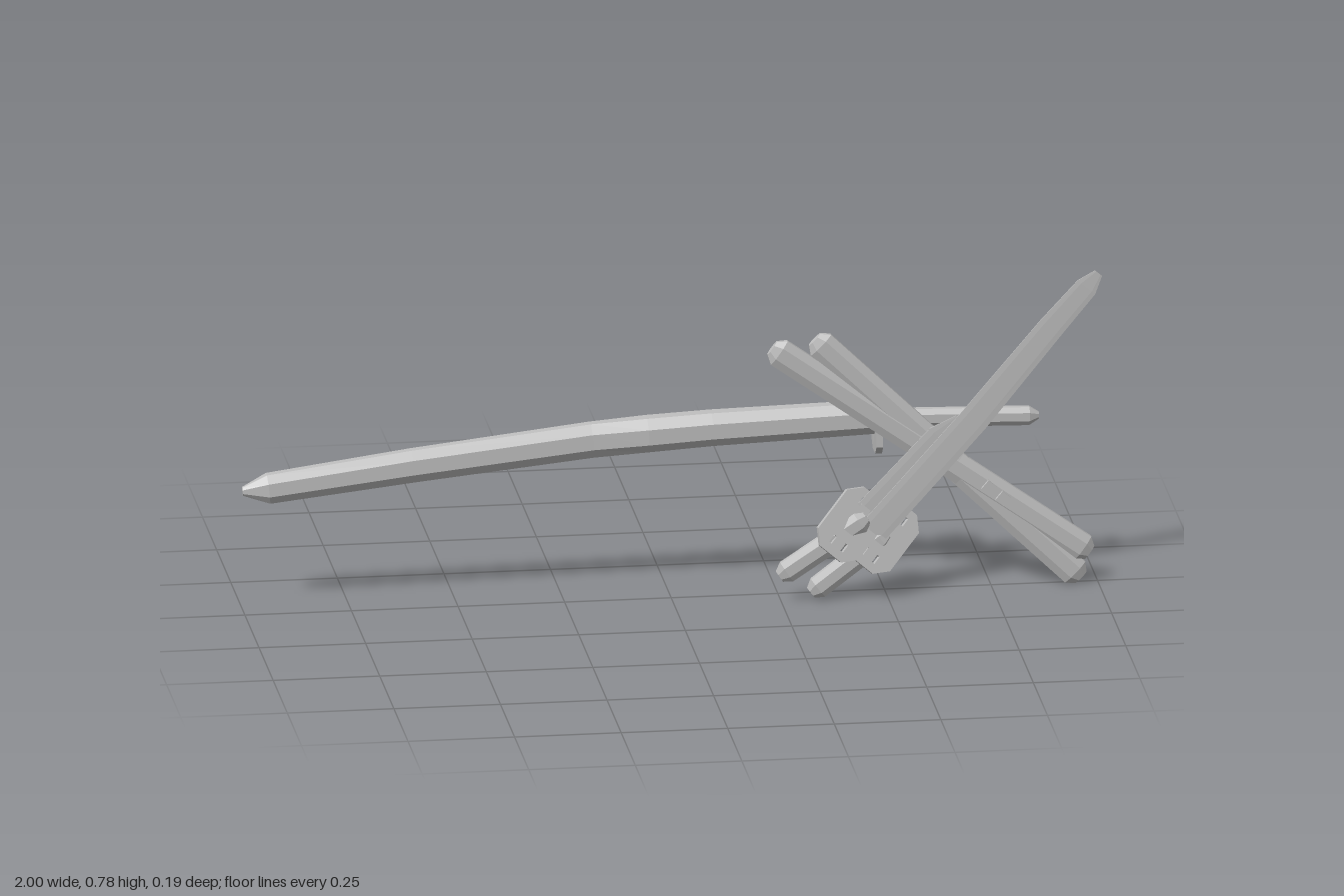
import * as THREE from 'three';

const steel = new THREE.MeshStandardMaterial({ color: 0xbfbfbf, flatShading: true });
steel.name = 'plain grey';

// Sweep a chamfered bar along stations [x, y, halfHeight, halfDepth] in the plane at z
function bar(name, z, stations, chamfer = 0.55) {
  const k = 1 - chamfer;
  const section = [[1, -k], [1, k], [k, 1], [-k, 1], [-1, k], [-1, -k], [-k, -1], [k, -1]];
  const rings = stations.map(([x, y, h, d], i) => {
    const a = stations[Math.max(i - 1, 0)], b = stations[Math.min(i + 1, stations.length - 1)];
    const len = Math.hypot(b[0] - a[0], b[1] - a[1]);
    const nx = -(b[1] - a[1]) / len, ny = (b[0] - a[0]) / len;
    return section.map(([u, v]) => [x + nx * u * h, y + ny * u * h, z + v * d]);
  });
  const first = stations[0], last = stations[stations.length - 1];
  const startMid = [first[0], first[1], z], endMid = [last[0], last[1], z];
  const pos = [];
  const tri = (...corners) => corners.forEach((c) => pos.push(...c));
  for (let j = 0; j < 8; j++) {
    const n = (j + 1) % 8;
    for (let i = 0; i < rings.length - 1; i++) {
      const r = rings[i], s = rings[i + 1];
      tri(r[j], r[n], s[n]);
      tri(r[j], s[n], s[j]);
    }
    tri(startMid, rings[0][n], rings[0][j]);
    tri(endMid, rings[rings.length - 1][j], rings[rings.length - 1][n]);
  }
  const geo = new THREE.BufferGeometry();
  geo.setAttribute('position', new THREE.Float32BufferAttribute(pos, 3));
  geo.computeVertexNormals();
  const mesh = new THREE.Mesh(geo, steel);
  mesh.name = name;
  return mesh;
}

// Straight bar with narrowed ends
function straight(name, z, [x0, y0], [x1, y1], h, d, end = 0.02) {
  const len = Math.hypot(x1 - x0, y1 - y0), e = end / len;
  const at = (t, s) => [x0 + (x1 - x0) * t, y0 + (y1 - y0) * t, h * s, d * s];
  return bar(name, z, [at(0, 0.55), at(e, 1), at(1 - e, 1), at(1, 0.55)]);
}

// Chamfered guard plate with four narrow slots
function guard(name, w, h, thickness) {
  const a = w / 2, b = h / 2, c = w * 0.24;
  const shape = new THREE.Shape([
    [a, c - b], [a, b - c], [a - c, b], [c - a, b], [-a, b - c], [-a, c - b], [c - a, -b], [a - c, -b],
  ].map((p) => new THREE.Vector2(...p)));
  for (const sx of [-1, 1]) for (const sy of [-1, 1]) {
    const x = sx * w * 0.14, y = sy * h * 0.32, u = w * 0.03, v = h * 0.06;
    shape.holes.push(new THREE.Path([
      [x - u, y - v], [x - u, y + v], [x + u, y + v], [x + u, y - v],
    ].map((p) => new THREE.Vector2(...p))));
  }
  const geo = new THREE.ExtrudeGeometry(shape, { depth: thickness, bevelEnabled: false });
  geo.translate(0, 0, -thickness / 2);
  const mesh = new THREE.Mesh(geo, steel);
  mesh.name = name;
  return mesh;
}

export function createModel() {
  const model = new THREE.Group();

  // Long sheathed sword
  const longSword = new THREE.Group();
  longSword.name = 'longSword';
  longSword.add(bar('longSheath', -0.043, [
    [-1, 0.305, 0.01, 0.007], [-0.94, 0.31, 0.035, 0.022], [-0.6, 0.352, 0.039, 0.023],
    [-0.18, 0.397, 0.041, 0.025], [-0.05, 0.406, 0.041, 0.034], [0.1, 0.414, 0.04, 0.034],
    [0.48, 0.425, 0.038, 0.029],
  ]));
  const longGuard = guard('longGuard', 0.087, 0.15, 0.016);
  longGuard.position.set(0.49, 0.415, -0.049);
  longGuard.rotation.y = Math.PI / 2;
  longSword.add(longGuard);
  longSword.add(bar('longHandle', -0.043, [
    [0.48, 0.422, 0.022, 0.015], [0.845, 0.413, 0.022, 0.015], [0.868, 0.413, 0.008, 0.006],
  ]));
  model.add(longSword);

  // Two empty sheaths, crossing in a narrow fan
  const sheaths = new THREE.Group();
  sheaths.name = 'emptySheaths';
  sheaths.add(straight('upperSheath', 0.01, [0.235, 0.62], [0.98, 0.09], 0.034, 0.014));
  sheaths.add(straight('lowerSheath', 0.009, [0.335, 0.637], [0.96, 0.03], 0.034, 0.014));
  for (const [x, y] of [[0.742, 0.263], [0.775, 0.235]]) {
    const clip = new THREE.Mesh(new THREE.BoxGeometry(0.026, 0.026, 0.012), steel);
    clip.name = 'sheathClip';
    clip.position.set(x, y, 0.025);
    clip.rotation.z = -0.7;
    sheaths.add(clip);
  }
  model.add(sheaths);

  // Drawn pair: a long blade in front of a short one
  const pair = new THREE.Group();
  pair.name = 'drawnSwords';
  pair.add(bar('longBlade', 0.07, [
    [0.45, 0.165, 0.035, 0.002], [0.7, 0.443, 0.035, 0.002], [0.88, 0.66, 0.031, 0.002],
    [0.965, 0.757, 0.027, 0.002], [0.993, 0.79, 0.011, 0.001],
  ], 0.4));
  pair.add(bar('shortBlade', 0.061, [
    [0.42, 0.185, 0.036, 0.002], [0.625, 0.4, 0.036, 0.002], [0.668, 0.445, 0.012, 0.001],
  ], 0.4));
  for (const [x, y, z] of [[0.415, 0.2, 0.069], [0.49, 0.167, 0.062]]) {
    const plate = guard('shortGuard', 0.125, 0.172, 0.014);
    plate.position.set(x, y, z);
    plate.rotation.set(-0.25, 0, -0.72, 'ZXY');
    pair.add(plate);
  }
  pair.add(straight('upperHandle', 0.068, [0.245, 0.08], [0.45, 0.215], 0.027, 0.013));
  pair.add(straight('lowerHandle', 0.061, [0.32, 0.035], [0.5, 0.172], 0.027, 0.013));
  model.add(pair);

  return model;
}
